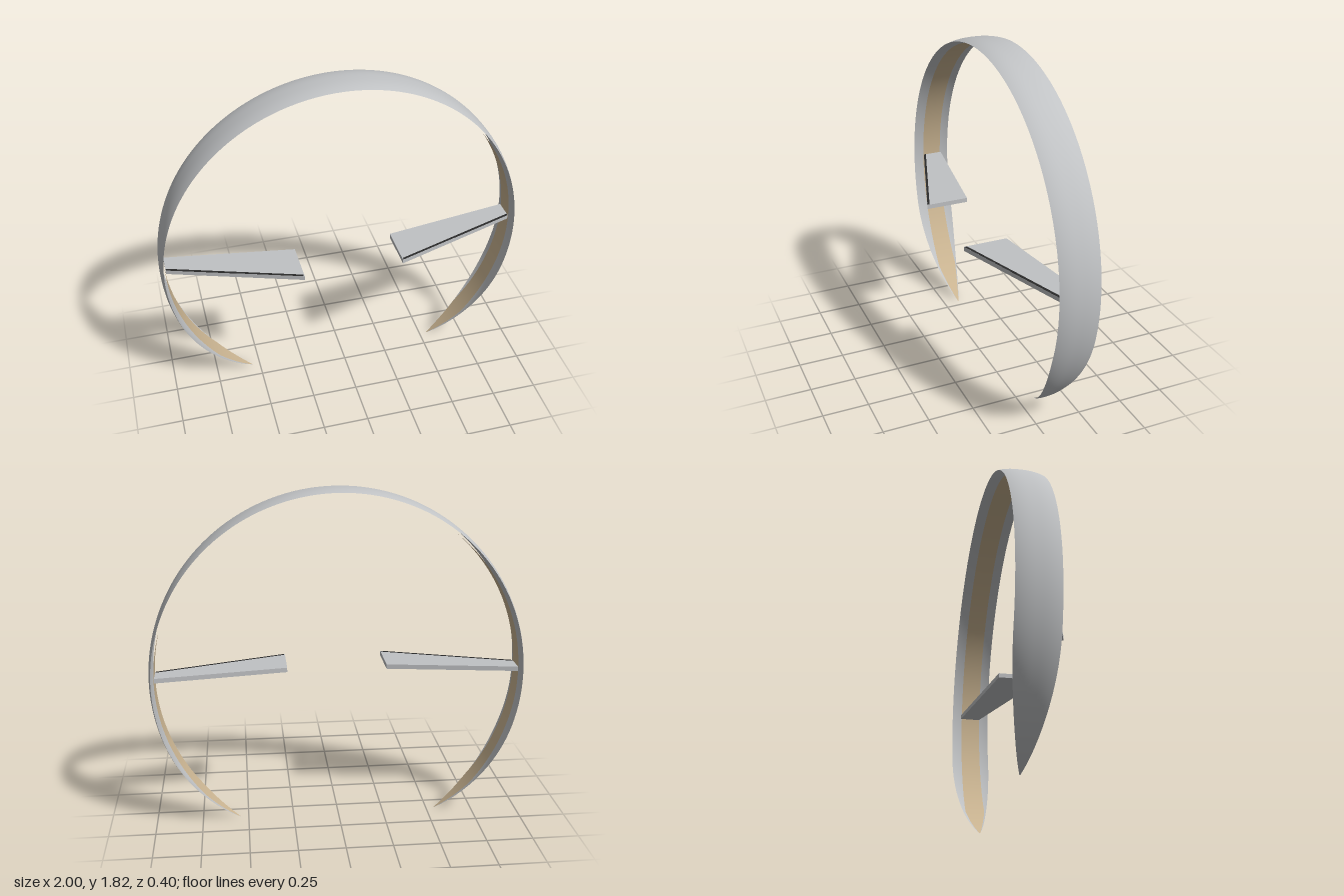
import * as THREE from 'three';
import { ParametricGeometry } from 'three/addons/geometries/ParametricGeometry.js';

const CENTER_Y = 0.82, CENTER_Z = -0.09, EDGE_R = 0.985, HALF_WIDTH = 0.11;
const START = THREE.MathUtils.degToRad(33.6);

// Full width above y = 0.55, narrowing to a rounded point at both tips
function taper(angle) {
  const y = CENTER_Y - EDGE_R * Math.cos(angle);
  const t = THREE.MathUtils.clamp(y / 0.55, 0.004, 1);
  return Math.pow(1 - (1 - t) ** 2, 0.8);
}

// Sweeps a strip round the open hoop; side = 1 faces outward, -1 inward
function hoopStrip(side, radius, halfWidth, across) {
  return new ParametricGeometry((u, v, target) => {
    const a = START + u * 2 * (Math.PI - START);
    const k = side * (2 * v - 1);
    const s = taper(a);
    const r = radius(k, s);
    target.set(r * Math.sin(a), CENTER_Y - r * Math.cos(a), CENTER_Z + k * halfWidth(s));
  }, 200, across);
}

// Flat plate drawn in x/z, with its top at y = top
function plate(points, top, thickness) {
  const shape = new THREE.Shape(points.map(([x, z]) => new THREE.Vector2(x, z)));
  const geometry = new THREE.ExtrudeGeometry(shape, { depth: thickness, bevelEnabled: false });
  return geometry.rotateX(Math.PI / 2).translate(0, top, 0);
}

export function createModel() {
  const grey = new THREE.MeshStandardMaterial({ name: 'silver grey', color: 0xc0c2c4 });
  const tan = new THREE.MeshStandardMaterial({ name: 'tan lining', color: 0xcbb592 });
  const dark = new THREE.MeshStandardMaterial({ name: 'dark edge', color: 0x2a2a2a });

  const model = new THREE.Group();
  model.name = 'openHoop';
  const add = (name, geometry, material, parent = model) => {
    const mesh = new THREE.Mesh(geometry, material);
    mesh.name = name;
    parent.add(mesh);
  };

  // Domed band: outer skin and concave inner skin meeting at the rims
  const dome = (k, s) => EDGE_R + 0.015 * s * (1 - Math.abs(k) ** 2.5);
  const fullWidth = (s) => HALF_WIDTH * s;
  add('bandOuter', hoopStrip(1, dome, fullWidth, 12), grey);
  add('bandInner', hoopStrip(-1, (k, s) => dome(k, s) - 0.004 * s * (1 - k * k), fullWidth, 12), grey);

  // Lining strip inside the band
  add('lining', hoopStrip(-1, (k, s) => EDGE_R - 0.0125 * s,
    (s) => Math.min(0.055, HALF_WIDTH * s * 0.85), 2), tan);

  // Pair of tapered arms pointing inward and forward
  for (const side of [-1, 1]) {
    const arm = new THREE.Group();
    arm.name = side > 0 ? 'leftArm' : 'rightArm';
    const mirror = (points) => points.map(([x, z]) => [side * x, z]);
    add('armPlate', plate(mirror([[0.27, 0.2], [0.27, -0.04], [0.97, -0.15], [0.97, -0.038]]), 0.847, 0.025), grey, arm);
    // Dark line along the sloping front edge
    add('armEdgeLine', plate(mirror([[0.275, 0.198], [0.275, 0.185], [0.968, -0.05], [0.968, -0.037]]), 0.848, 0.002), dark, arm);
    model.add(arm);
  }
  return model;
}
